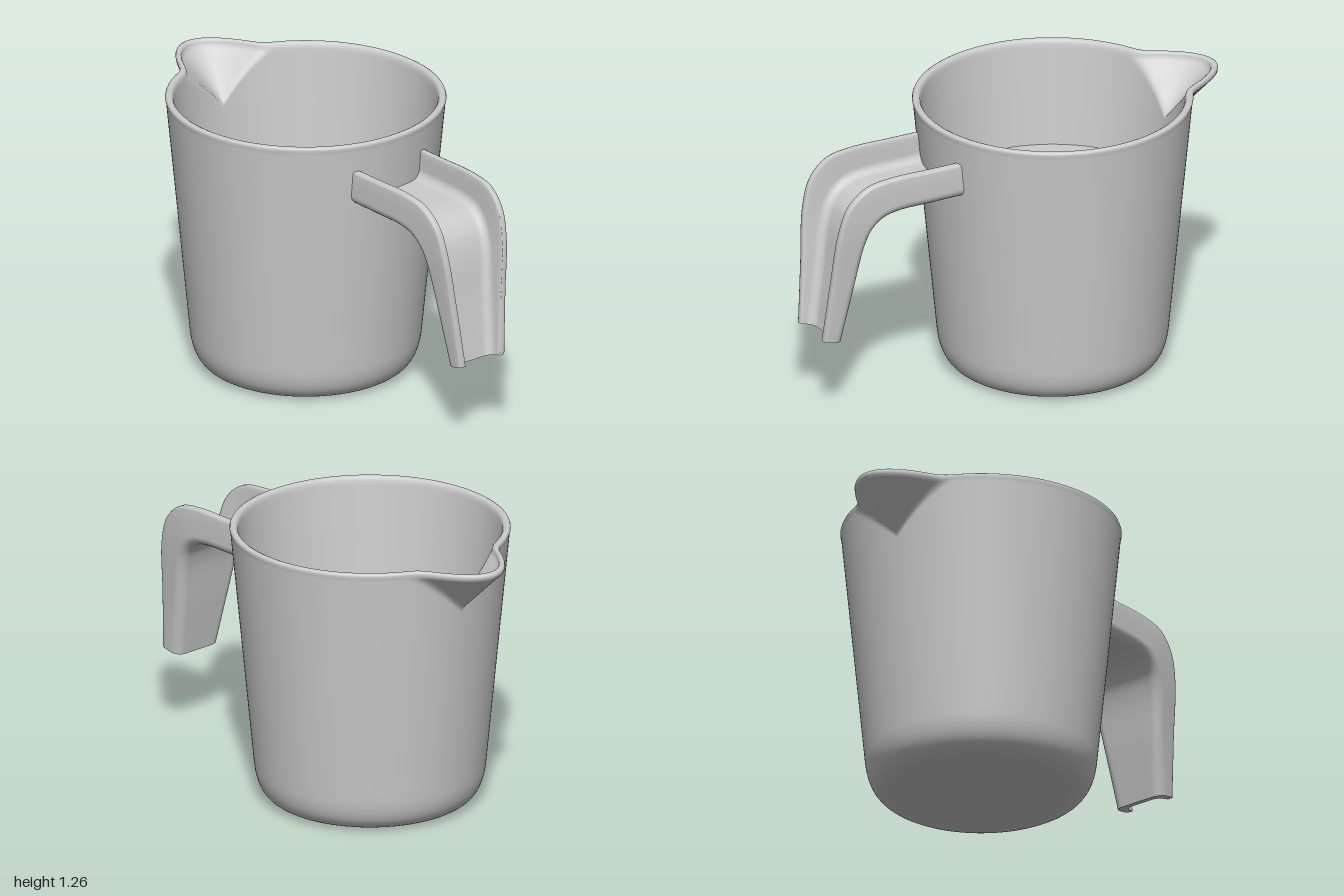
import * as THREE from 'three';

const CX = -0.2;      // jug axis
const FLOOR = 0.78;   // level of the inner surface
const material = new THREE.MeshStandardMaterial({ color: 0xcccccc, side: THREE.DoubleSide });

// Smooth surface through a list of equally long rings of points
function loft(rings, closed) {
  const n = rings[0].length, index = [];
  for (let i = 0; i < rings.length - 1; i++) {
    for (let j = 0; j < (closed ? n : n - 1); j++) {
      const k = (j + 1) % n;
      const a = i * n + j, b = a + n, c = i * n + k, d = c + n;
      index.push(a, b, c, b, d, c);
    }
  }
  const g = new THREE.BufferGeometry().setFromPoints(rings.flat());
  g.setIndex(index);
  g.computeVertexNormals();
  return g;
}

function part(name, geometry) {
  const mesh = new THREE.Mesh(geometry, material);
  mesh.name = name;
  return mesh;
}

const wallRadius = y => 0.51 + 0.1 * (y - 0.2) / 1.04;

// How far the spout pushes the wall out, at angle a from the spout axis
function spoutPush(a, y) {
  const t = Math.min((y - 1.03) / 0.205, 1);
  if (t <= 0 || Math.abs(a) > 1) return 0;
  // Parabolic outline, shrinking to a point at the foot of the spout
  const A = 4.5 / t * Math.sin(a) ** 2, B = Math.cos(a), C = 0.587 + 0.213 * t;
  const s = 2 * C / (B + Math.sqrt(B * B + 4 * A * C));
  const r = wallRadius(y), k = 0.04 * t;
  const h = Math.max(k - Math.abs(r - s), 0) / k;
  return Math.max(r, s) + h * h * k / 4 - r;
}

function jugGeometry() {
  // Profile: underside, rounded foot, outer wall, rim, inner wall
  const profile = [[0, 0.008], [0.02, 0.008], [0.04, 0.003], [0.3, 0.002], [0.37, 0]];
  const foot = new THREE.CubicBezierCurve(
    new THREE.Vector2(0.385, 0), new THREE.Vector2(0.455, 0.005),
    new THREE.Vector2(0.492, 0.05), new THREE.Vector2(0.505, 0.15));
  foot.getPoints(12).forEach(p => profile.push([p.x, p.y]));
  for (const y of [0.2, 0.4, 0.6, 0.8, 0.95]) profile.push([wallRadius(y), y]);
  const rows = 20;
  for (let i = 0; i <= rows; i++) {
    const y = 1.02 + 0.215 * i / rows;
    profile.push([wallRadius(y), y]);
  }
  profile.push([0.613, 1.248], [0.61, 1.256], [0.603, 1.26], [0.591, 1.26], [0.583, 1.256], [0.578, 1.248]);
  for (let i = rows; i >= 0; i--) {
    const y = 1.02 + 0.215 * i / rows;
    profile.push([wallRadius(y) - 0.034, y]);
  }
  for (const y of [0.9, FLOOR]) profile.push([wallRadius(y) - 0.034, y]);

  // Angles are packed closer near the spout
  const angles = [];
  for (let j = 0; j < 180; j++) {
    const s = (j - 90) / 90;
    angles.push(Math.PI * Math.sign(s) * Math.abs(s) ** 1.5);
  }
  return loft(profile.map(([r, y]) => angles.map(a => {
    const R = r + spoutPush(a, y);
    return new THREE.Vector3(CX - R * Math.cos(a), y, -R * Math.sin(a));
  })), true);
}

// U-shaped section: half width w, depth h, corner radius c, as [side, depth] pairs
function channel(w, h, c, base, lip) {
  const half = [];
  if (lip) half.push([w - 0.013, h], [w - 0.004, h - 0.004]);
  else half.push([w + 0.013 - 0.008, h], [w + 0.003, h - 0.004]);
  half.push([w, h - 0.014], [w, (h + base + c) / 2]);
  for (let i = 0; i <= 6; i++) {
    const a = i / 6 * Math.PI / 2;
    half.push([w - c + c * Math.cos(a), base + c - c * Math.sin(a)]);
  }
  half.push([w / 3, base]);
  return [...half.map(([u, v]) => [-u, v]), ...half.reverse()];
}

function handleParts() {
  const curve = pts => new THREE.CatmullRomCurve3(pts.map(p => new THREE.Vector3(...p)));
  // Underside (z holds the half width) and the matching lip line
  const under = curve([[0.34, 0.968, 0.205], [0.5, 0.966, 0.205], [0.66, 0.962, 0.204], [0.735, 0.943, 0.202],
    [0.785, 0.895, 0.195], [0.815, 0.82, 0.184], [0.855, 0.61, 0.156], [0.902, 0.365, 0.128]]);
  const lip = curve([[0.34, 1.13, 0], [0.5, 1.13, 0], [0.7, 1.129, 0], [0.82, 1.106, 0],
    [0.905, 1.03, 0], [0.948, 0.9, 0], [0.972, 0.66, 0], [0.998, 0.385, 0]]);
  const rings = [], steps = 56;
  let outerEnd, innerEnd;
  for (let i = 0; i <= steps; i++) {
    const b = under.getPoint(i / steps), l = lip.getPoint(i / steps);
    const w = b.z;
    b.z = 0;
    const h = b.distanceTo(l), dir = l.clone().sub(b).normalize();
    const place = ([u, v]) => {
      const p = b.clone().addScaledVector(dir, v);
      p.z = u;
      // The root is trimmed to sit inside the jug wall
      if (i === 0) p.x = CX + Math.sqrt(0.57 ** 2 - u * u);
      return p;
    };
    const outer = channel(w, h, 0.045, 0, true).map(place);
    const inner = channel(w - 0.034, h, 0.04, 0.034, false).map(place);
    rings.push([...outer, ...inner.slice().reverse()]);
    outerEnd = outer;
    innerEnd = inner;
  }
  return [part('handleChannel', loft(rings, true)), part('handleEnd', loft([outerEnd, innerEnd], false))];
}

export function createModel() {
  const model = new THREE.Group();
  model.name = 'measuringJug';
  model.add(part('jugBody', jugGeometry()));

  // Flat inner surface
  const floor = part('innerFloor', new THREE.CircleGeometry(wallRadius(FLOOR) - 0.033, 96).rotateX(-Math.PI / 2));
  floor.position.set(CX, FLOOR, 0);
  model.add(floor);

  const handle = new THREE.Group();
  handle.name = 'handle';
  handle.add(...handleParts());
  model.add(handle);
  return model;
}
